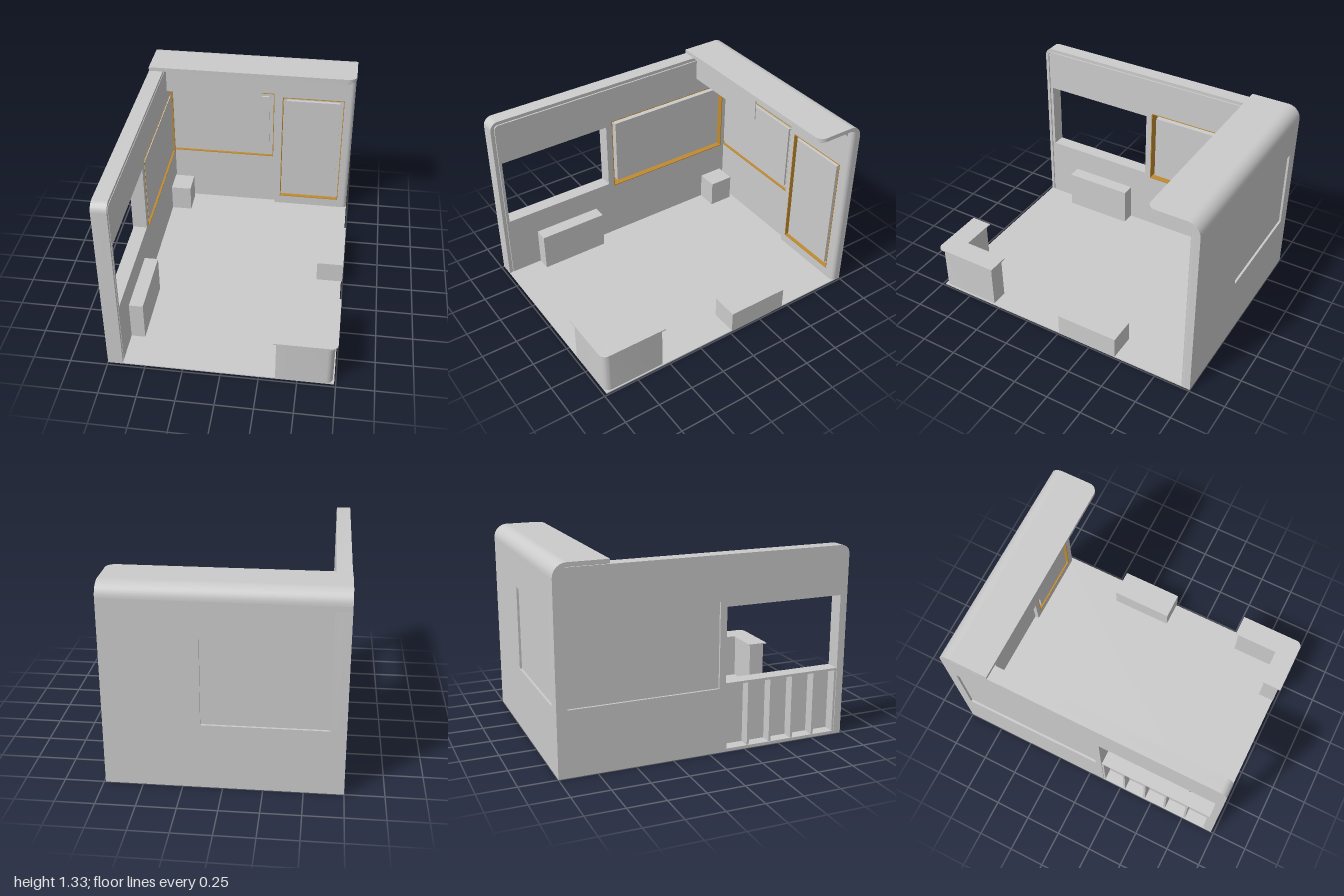
import * as THREE from 'three';
import { toCreasedNormals } from 'three/addons/utils/BufferGeometryUtils.js';

const grey = new THREE.MeshStandardMaterial({ color: 0xcccccc });
const orange = new THREE.MeshStandardMaterial({ color: 0xc08a30 });

// Closed outline from [x, y, cornerRadius] points
function outline(pts, Type = THREE.Shape) {
  const s = new Type();
  const n = pts.length;
  const v = (i) => new THREE.Vector2(pts[(i + n) % n][0], pts[(i + n) % n][1]);
  for (let i = 0; i < n; i++) {
    const p = v(i), r = pts[i][2] || 0;
    const toPrev = v(i - 1).sub(p).normalize(), toNext = v(i + 1).sub(p).normalize();
    const a = p.clone().addScaledVector(toPrev, r), b = p.clone().addScaledVector(toNext, r);
    if (i === 0) s.moveTo(a.x, a.y); else s.lineTo(a.x, a.y);
    if (r) {
      const c = a.clone().lerp(p, 0.552), d = b.clone().lerp(p, 0.552);
      s.bezierCurveTo(c.x, c.y, d.x, d.y, b.x, b.y);
    }
  }
  s.closePath();
  return s;
}
const rect = (x0, x1, y0, y1) => [[x0, y0], [x1, y0], [x1, y1], [x0, y1]];
const hole = (x0, x1, y0, y1) => outline(rect(x0, x1, y0, y1), THREE.Path);

// Extrudes from a to b along an axis; for 'x' the outline is (-z, y), for 'y' it is (x, -z)
function prism(name, pts, axis, a, b, holes = [], mat = grey) {
  const shape = outline(pts);
  shape.holes.push(...holes);
  let g = new THREE.ExtrudeGeometry(shape, { depth: b - a, bevelEnabled: false, curveSegments: 10 });
  g.translate(0, 0, a);
  if (axis === 'x') g.rotateY(Math.PI / 2);
  if (axis === 'y') g.rotateX(-Math.PI / 2);
  g = toCreasedNormals(g, 0.5);
  const m = new THREE.Mesh(g, mat);
  m.name = name;
  return m;
}
function box(name, x0, x1, y0, y1, z0, z1) {
  const m = new THREE.Mesh(new THREE.BoxGeometry(x1 - x0, y1 - y0, z1 - z0), grey);
  m.position.set((x0 + x1) / 2, (y0 + y1) / 2, (z0 + z1) / 2);
  m.name = name;
  return m;
}

// Framed screen filling an opening: orange liner, backing and raised screen
function screen(name, axis, [u0, u1, v0, v1], back, front, margin) {
  const g = new THREE.Group();
  g.name = name;
  const t = 0.005;
  g.add(
    prism('frameLiner', rect(u0, u1, v0, v1), axis, back + 0.005, front + 0.003,
      [hole(u0 + t, u1 - t, v0 + t, v1 - t)], orange),
    prism('screenBacking', rect(u0, u1, v0, v1), axis, back, back + 0.008),
    prism('screenPanel', rect(u0 + margin, u1 - margin, v0 + margin, v1 - margin), axis,
      back + 0.008, front - 0.003));
  return g;
}

function leftOutline(d) {
  return [[-0.98 + d, 0.005], [1 - d, 0.005], [1 - d, 1.295 - d, 0.09 - d], [-0.98 + d, 1.295 - d, 0.06 - d]];
}

function buildSideWall() {
  const g = new THREE.Group();
  g.name = 'sideWall';
  const win = () => hole(-0.93, -0.11, 0.465, 0.965);
  const scr = [-0.065, 0.93, 0.435, 1.0];
  // outer layer leaves a stud cavity open below the window
  g.add(prism('outerLayer', leftOutline(0), 'x', -0.75, -0.672,
    [hole(-0.93, -0.11, 0.02, 0.965), hole(...scr)]));
  g.add(prism('innerLayer', leftOutline(0), 'x', -0.672, -0.66, [win(), hole(...scr)]));
  g.add(prism('edgeTrim', leftOutline(0), 'x', -0.66, -0.65, [outline(leftOutline(0.022), THREE.Path)]));
  g.add(prism('innerPanel', leftOutline(0.03), 'x', -0.66, -0.65, [win(), hole(...scr)]));
  g.add(box('windowSill', -0.745, -0.672, 0.45, 0.465, 0.11, 0.93));
  for (let i = 0; i < 6; i++) {
    const z = 0.11 + i * 0.161;
    g.add(box('wallStud', -0.745, -0.672, 0.02, 0.45, z, z + 0.015));
  }
  g.add(screen('sideScreen', 'x', scr, -0.735, -0.65, 0.035));
  return g;
}

function buildBackWall() {
  const g = new THREE.Group();
  g.name = 'backWall';
  const scr = [-0.69, 0.135, 0.435, 1.0];
  const door = [0.2, 0.665, 0.08, 0.99];
  g.add(prism('backPanel', rect(-0.75, 0.74, 0.005, 1.235), 'z', -1, -0.96, [hole(...scr)]));
  g.add(screen('backScreen', 'z', scr, -0.985, -0.96, 0.035));
  // raised section with the tall framed panel
  g.add(prism('raisedSection', rect(0.16, 0.7, 0.005, 1.297), 'z', -0.96, -0.93, [hole(...door)]));
  g.add(screen('tallPanel', 'z', door, -0.965, -0.93, 0.03));
  g.add(prism('endColumn', [[0.7, 0.93], [0.74, 0.93, 0.03], [0.74, 0.965], [0.7, 0.965]].reverse(),
    'y', 0.005, 1.297));
  return g;
}

function buildCanopy() {
  const g = new THREE.Group();
  g.name = 'canopy';
  // curved shoulder between wall and roof
  g.add(prism('roofShoulder', [[0.91, 1.297], [0.96, 1.297, 0.05], [0.96, 1.235], [1, 1.235],
    [1, 1.325, 0.09], [0.91, 1.325]], 'x', -0.75, 0.74));
  g.add(prism('roofSlab', [[-0.75, 0.65], [0.74, 0.65, 0.06], [0.74, 0.91], [-0.75, 0.91]],
    'y', 1.297, 1.325));
  g.add(prism('lowerSlab', [[0.16, 0.69], [0.7, 0.69, 0.03], [0.7, 0.94], [0.16, 0.94]],
    'y', 1.265, 1.292));
  g.add(box('slabSpacer', 0.16, 0.68, 1.29, 1.298, -0.94, -0.71));
  // concave fillet under the lower slab
  g.add(prism('ceilingFillet', [[0.89, 1.266], [0.93, 1.266, 0.036], [0.93, 1.225], [0.935, 1.225],
    [0.935, 1.27], [0.89, 1.27]], 'x', 0.16, 0.7));
  g.add(box('signBoard', -0.63, 0.065, 1.13, 1.297, -0.672, -0.666));
  return g;
}

function buildCounter() {
  const g = new THREE.Group();
  g.name = 'counter';
  // L-shaped plan shared by the body and the overhanging top
  const plan = (d) => [[0.34 + d, -1 + d], [0.748 - d, -1 + d, 0.045], [0.748 - d, -0.53 - d],
    [0.595 + d, -0.53 - d], [0.595 + d, -0.85 - d], [0.34 + d, -0.85 - d]];
  g.add(prism('counterBody', plan(0.018), 'y', 0.005, 0.326));
  g.add(prism('counterTop', plan(0), 'y', 0.326, 0.335));
  return g;
}

export function createModel() {
  const model = new THREE.Group();
  model.name = 'exhibitionBooth';
  model.add(
    box('floor', -0.75, 0.74, 0, 0.008, -1, 0.98),
    buildSideWall(),
    buildBackWall(),
    buildCanopy(),
    buildCounter(),
    box('longCabinet', -0.65, -0.555, 0.005, 0.285, 0.23, 0.725),
    box('cornerCabinet', -0.65, -0.5, 0.005, 0.205, -0.93, -0.75),
    box('bench', 0.56, 0.748, 0.018, 0.17, -0.45, -0.01),
    box('benchBase', 0.57, 0.738, 0.005, 0.018, -0.44, -0.02));
  return model;
}
